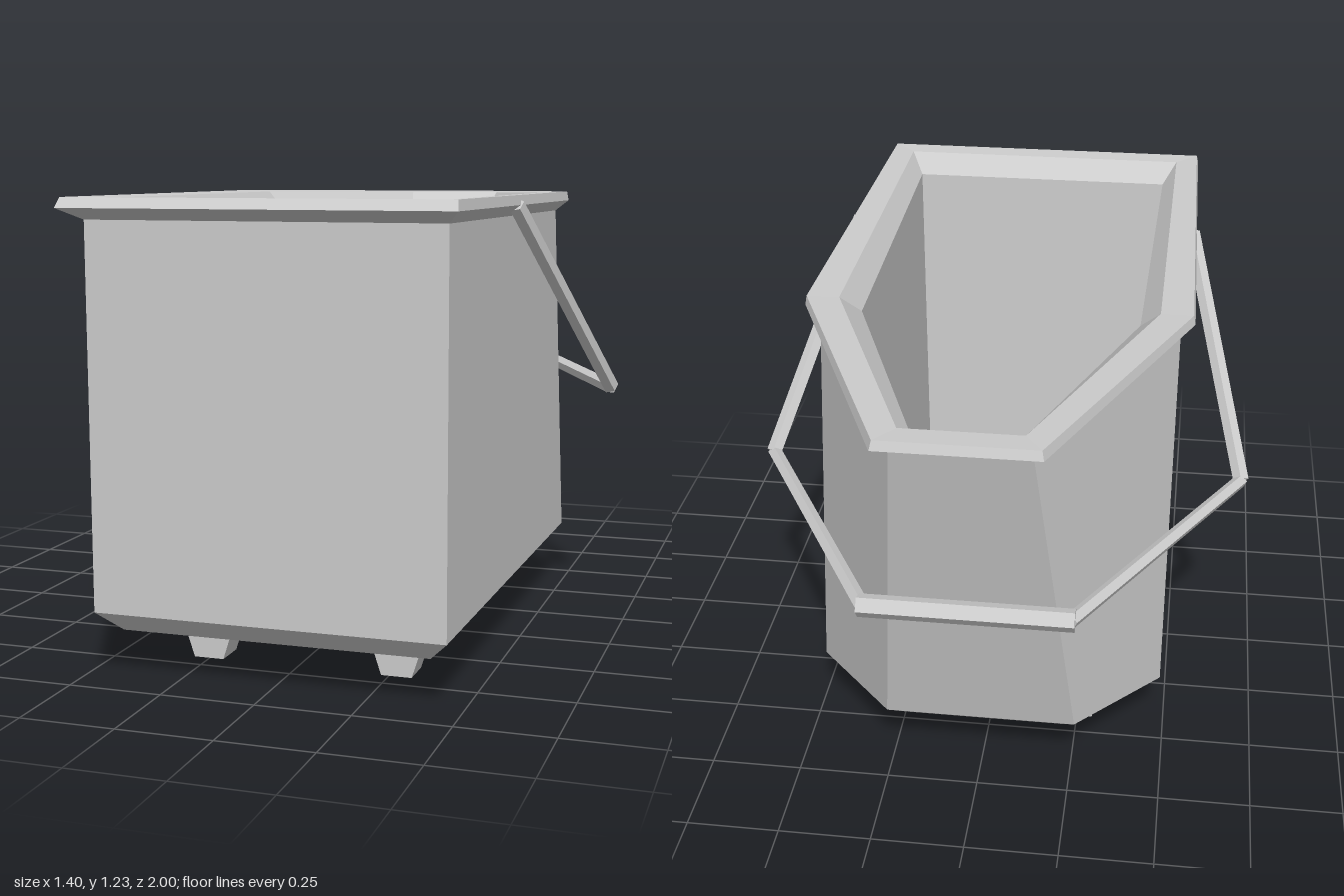
import * as THREE from 'three';

const material = new THREE.MeshStandardMaterial({ color: 0xcccccc, flatShading: true });
const panelMaterial = new THREE.MeshStandardMaterial({ color: 0xcccccc });

// Six-cornered ring: a wide front, a shoulder and a narrow back, mirrored in x
function ring([y, frontX, frontZ, midX, midZ, backX, backZ, backY = y]) {
  const half = [[frontX, y, frontZ], [midX, y, midZ], [backX, backY, backZ]];
  return [...half, ...half.map(([x, h, z]) => [-x, h, z]).reverse()]
    .map((p) => new THREE.Vector3(...p));
}

// Skin between successive rings, with an optional cap on the first or last one.
// Each four-sided panel gets one even normal, as the slanted ones are slightly twisted.
function loft(name, specs, capFirst, capLast) {
  const rings = specs.map(ring);
  const positions = [], normals = [];
  function quad(a, b, c, d) {
    const normal = c.clone().sub(a).cross(d.clone().sub(b)).normalize();
    for (const p of [a, b, c, a, c, d]) {
      positions.push(p.x, p.y, p.z);
      normals.push(normal.x, normal.y, normal.z);
    }
  }
  for (let r = 0; r < rings.length - 1; r++) {
    const a = rings[r], b = rings[r + 1];
    for (let i = 0; i < 6; i++) {
      const j = (i + 1) % 6;
      // the diagonal is mirrored between the two sides
      if (i < 3) quad(a[j], b[j], b[i], a[i]);
      else quad(a[i], a[j], b[j], b[i]);
    }
  }
  const first = rings[0], last = rings[rings.length - 1];
  for (const i of [0, 1]) {
    // caps split across the shoulders
    if (capFirst) quad(first[5 - i], first[4 - i], first[i + 1], first[i]);
    if (capLast) quad(last[i], last[i + 1], last[4 - i], last[5 - i]);
  }
  const geometry = new THREE.BufferGeometry();
  geometry.setAttribute('position', new THREE.Float32BufferAttribute(positions, 3));
  geometry.setAttribute('normal', new THREE.Float32BufferAttribute(normals, 3));
  const mesh = new THREE.Mesh(geometry, panelMaterial);
  mesh.name = name;
  return mesh;
}

// Straight five-sided rod from a to b, with a point of the pentagon towards the back
function rod(name, a, b, radius) {
  const start = new THREE.Vector3(...a), end = new THREE.Vector3(...b);
  const direction = end.clone().sub(start);
  const geometry = new THREE.CylinderGeometry(radius, radius, direction.length(), 5);
  geometry.rotateY(Math.PI);
  const mesh = new THREE.Mesh(geometry, material);
  mesh.position.copy(start).add(end).multiplyScalar(0.5);
  mesh.quaternion.setFromUnitVectors(new THREE.Vector3(0, 1, 0), direction.normalize());
  mesh.name = name;
  return mesh;
}

export function createModel() {
  const model = new THREE.Group();
  model.name = 'wheeledTub';

  // Rings: y, front x and z, shoulder x and z, back x and z, back y
  const underRim = [1.17, 0.465, 0.925, 0.485, -0.25, 0.17, -0.93, 1.158];
  const innerLip = [1.222, 0.435, 0.92, 0.43, -0.25, 0.15, -0.92, 1.212];

  // Outer shell with its chamfered base
  model.add(loft('tubShell', [
    [0.116, 0.41, 0.87, 0.42, -0.41, 0.225, -0.61],
    [0.172, 0.465, 0.925, 0.485, -0.44, 0.26, -0.675],
    underRim,
  ], true, false));

  // Overhanging rim
  model.add(loft('rim', [
    underRim,
    [1.2, 0.505, 1.0, 0.522, -0.26, 0.2, -1.0, 1.193],
    [1.226, 0.5, 0.98, 0.517, -0.26, 0.195, -0.99, 1.216],
    innerLip,
  ], false, false));

  // Inner walls and floor
  model.add(loft('tubInterior', [
    innerLip,
    [1.17, 0.395, 0.85, 0.377, -0.22, 0.132, -0.85, 1.16],
    [0.2, 0.39, 0.825, 0.39, -0.39, 0.22, -0.6],
  ], false, true));

  // Bent side arms joined by a push bar at the back
  const handle = new THREE.Group();
  handle.name = 'handle';
  for (const side of [1, -1]) {
    const pivot = [side * 0.5, 1.2, 0.375];
    const elbow = [side * 0.68, 0.66, -0.135];
    const grip = [side * 0.26, 0.685, -0.9];
    handle.add(rod('upperArm', pivot, elbow, 0.023));
    handle.add(rod('lowerArm', elbow, grip, 0.02));
  }
  handle.add(rod('pushBar', [-0.272, 0.688, -0.9], [0.272, 0.688, -0.9], 0.031));
  model.add(handle);

  // Five-sided wheels
  for (const x of [-0.252, 0.27]) {
    for (const z of [0.645, -0.385]) {
      const wheel = new THREE.Mesh(new THREE.CylinderGeometry(0.07, 0.07, 0.09, 5), material);
      wheel.rotation.x = -Math.PI / 2; // a point of the pentagon faces up
      wheel.position.set(x, 0.057, z);
      wheel.name = 'wheel';
      model.add(wheel);
    }
  }
  return model;
}
